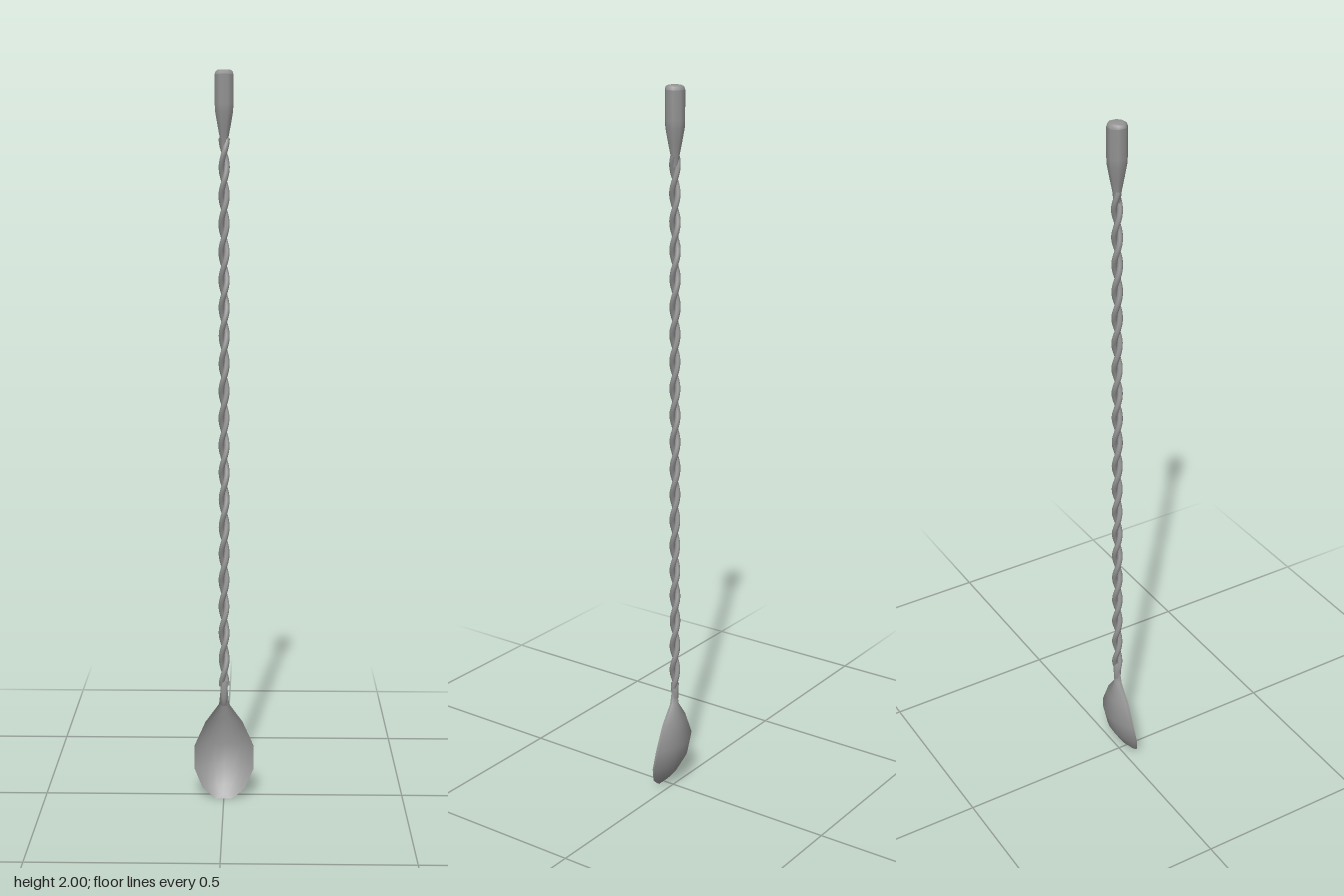
import * as THREE from 'three';

const AXIS_Z = -0.006;
const material = new THREE.MeshStandardMaterial({ color: 0x939393, side: THREE.DoubleSide });

function addMesh(group, geometry, name, z = 0) {
  const mesh = new THREE.Mesh(geometry, material);
  mesh.name = name;
  mesh.position.z = z;
  group.add(mesh);
}

// Eight-sided turned part from [radius, y] pairs
function turned(points) {
  return new THREE.LatheGeometry(points.map(([r, y]) => new THREE.Vector2(r, y)), 8, Math.PI / 8);
}

// One strand of the twisted shaft, winding round the axis
class Strand extends THREE.Curve {
  constructor(y0, y1, turns, phase) {
    super();
    Object.assign(this, { y0, y1, turns, phase });
  }

  getPoint(t, target = new THREE.Vector3()) {
    const a = this.phase + t * this.turns * Math.PI * 2;
    return target.set(Math.cos(a) * 0.0075, this.y0 + t * (this.y1 - this.y0), -Math.sin(a) * 0.0075);
  }
}

// Bowl rows from stem to tip: y, half width, rim z, middle z, thickness
const bowlRows = [
  [0.3, 0.01, -0.006, -0.014, 0.004],
  [0.262, 0.014, -0.005, -0.017, 0.006],
  [0.21, 0.052, -0.006, -0.031, 0.007],
  [0.14, 0.083, -0.006, -0.037, 0.007],
  [0.08, 0.083, 0.007, -0.023, 0.006],
  [0.03, 0.06, 0.023, 0.006, 0.004],
  [0.008, 0.034, 0.031, 0.025, 0.002],
  [0, 0.022, 0.034, 0.034, 0.001],
];

// Sheet over the bowl rows; point(row, v) gives [x, z] for v from 0 to 1
function bowlSheet(cols, point, flip) {
  const positions = [], index = [];
  for (const row of bowlRows) {
    for (let j = 0; j <= cols; j++) {
      const [x, z] = point(row, j / cols);
      positions.push(x, row[0], z);
    }
  }
  for (let i = 0; i < bowlRows.length - 1; i++) {
    for (let j = 0; j < cols; j++) {
      const a = i * (cols + 1) + j, b = a + 1, d = a + cols + 1, c = d + 1;
      if (flip) index.push(a, c, d, a, b, c);
      else index.push(a, d, c, a, c, b);
    }
  }
  const geo = new THREE.BufferGeometry();
  geo.setAttribute('position', new THREE.Float32BufferAttribute(positions, 3));
  geo.setIndex(index);
  geo.computeVertexNormals();
  return geo;
}

// Parabolic cross-section, moved forward by a share of the thickness
const hollow = (forward) => ([, w, rim, mid, thick], v) => {
  const u = Math.cos(v * Math.PI);
  return [u * w, rim + (mid - rim) * (1 - u * u) + thick * forward];
};

export function createModel() {
  const group = new THREE.Group();
  group.name = 'stirringSpoon';

  // Bowl: two parallel skins joined by a narrow rim
  addMesh(group, bowlSheet(10, hollow(0), false), 'bowlBack');
  addMesh(group, bowlSheet(10, hollow(1), true), 'bowlFront');
  for (const [side, name] of [[1, 'leftRim'], [-1, 'rightRim']]) {
    addMesh(group, bowlSheet(1, ([, w, rim, , thick], v) => [side * w, rim + thick * v], side > 0), name);
  }

  // Plain neck between bowl and shaft
  addMesh(group, turned([[0, 0.255], [0.007, 0.258], [0.01, 0.28], [0.0115, 0.325], [0, 0.335]]), 'neck', AXIS_Z);

  // Shaft of two strands twisted together
  for (const phase of [0, Math.PI]) {
    const strand = new Strand(0.315, 1.82, 10, phase);
    addMesh(group, new THREE.TubeGeometry(strand, 160, 0.0078, 7), 'shaftStrand', AXIS_Z);
  }

  // Tapered grip and its rounded end cap
  addMesh(group, turned([[0.009, 1.79], [0.012, 1.82], [0.019, 1.855], [0.0255, 1.89], [0.0268, 1.91], [0.0268, 1.988]]), 'grip', AXIS_Z);
  addMesh(group, turned([[0.0268, 1.988], [0.0245, 1.996], [0.018, 1.9995], [0, 2]]), 'endCap', AXIS_Z);

  return group;
}
